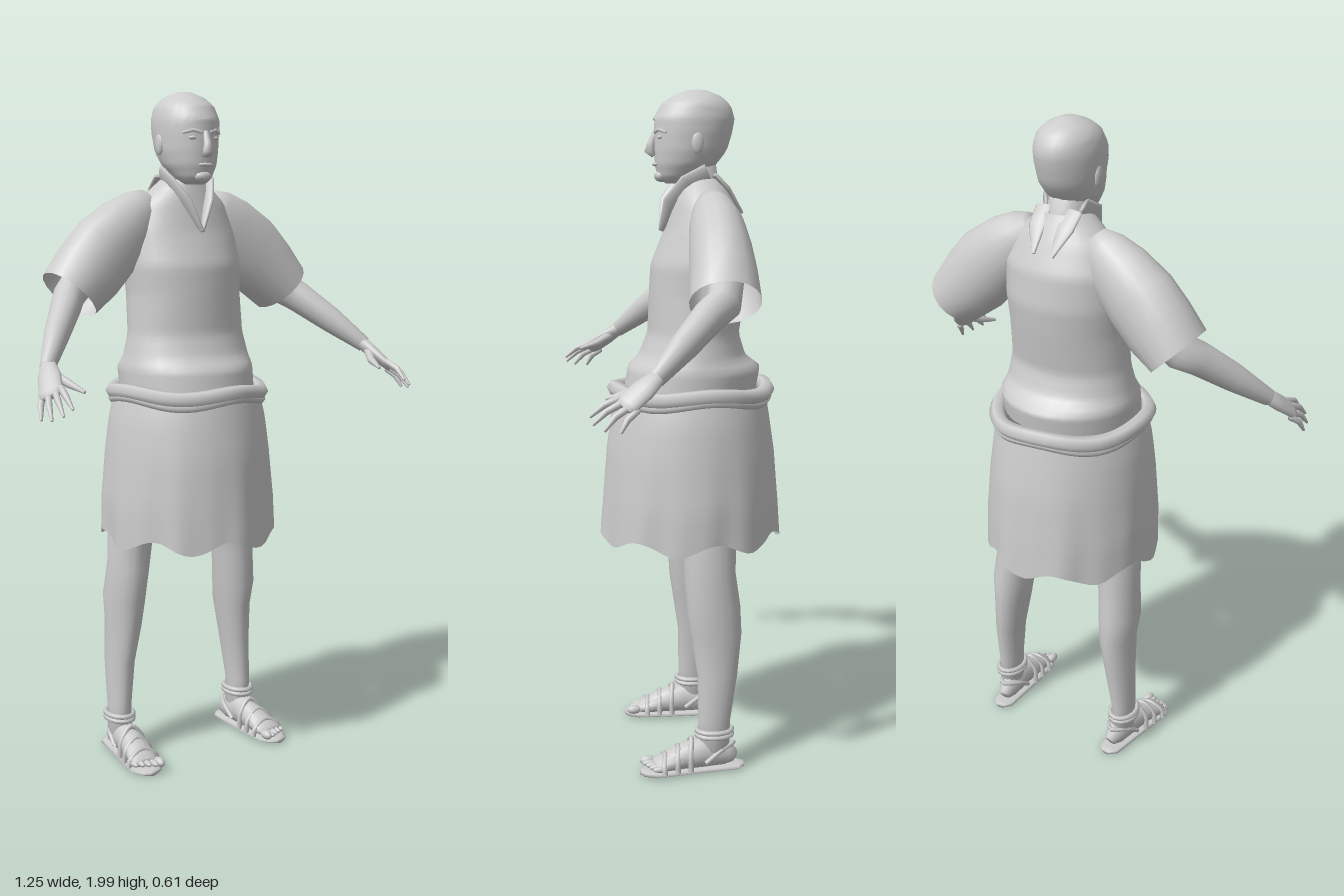
import * as THREE from 'three';

const cloth = new THREE.MeshStandardMaterial({ color: 0xcccccc, side: THREE.DoubleSide });
cloth.name = 'plain grey';
const V = (x, y, z) => new THREE.Vector3(x, y, z);

// Closed skin over rings of points; ends may be capped
function skin(rings, capStart, capEnd) {
  const n = rings[0].length, pos = [], idx = [];
  rings.forEach(r => r.forEach(p => pos.push(p.x, p.y, p.z)));
  for (let i = 0; i < rings.length - 1; i++) for (let j = 0; j < n; j++) {
    const a = i * n + j, b = i * n + (j + 1) % n;
    idx.push(a, b, b + n, a, b + n, a + n);
  }
  const cap = (ring, start, flip) => {
    const c = ring.reduce((s, p) => s.add(p), V(0, 0, 0)).divideScalar(n);
    const k = pos.length / 3;
    pos.push(c.x, c.y, c.z);
    for (let j = 0; j < n; j++) {
      const a = start + j, b = start + (j + 1) % n;
      flip ? idx.push(k, b, a) : idx.push(k, a, b);
    }
  };
  if (capStart) cap(rings[0], 0, true);
  if (capEnd) cap(rings[rings.length - 1], (rings.length - 1) * n, false);
  const g = new THREE.BufferGeometry();
  g.setAttribute('position', new THREE.Float32BufferAttribute(pos, 3));
  g.setIndex(idx);
  g.computeVertexNormals();
  return g;
}

// Elliptical sections [x, y, z, a, b] along a path; a lies along ref
function limb(secs, ref, n = 14, capStart = true, capEnd = true) {
  const c = secs.map(s => V(s[0], s[1], s[2]));
  const rings = secs.map((s, i) => {
    const t = c[Math.min(i + 1, c.length - 1)].clone().sub(c[Math.max(i - 1, 0)]).normalize();
    const u = ref.clone().addScaledVector(t, -ref.dot(t)).normalize();
    const w = t.clone().cross(u);
    return Array.from({ length: n }, (_, j) => {
      const q = j / n * Math.PI * 2;
      return c[i].clone().addScaledVector(u, s[3] * Math.cos(q)).addScaledVector(w, s[4] * Math.sin(q));
    });
  });
  return skin(rings, capStart, capEnd);
}

// Upright profile rows: [y, front z, back z, half width]
function rowAt(rows, y) {
  let i = 0;
  while (i < rows.length - 2 && y > rows[i + 1][0]) i++;
  const k = THREE.MathUtils.clamp((y - rows[i][0]) / (rows[i + 1][0] - rows[i][0]), 0, 1);
  return rows[i].map((v, j) => v + (rows[i + 1][j] - v) * k);
}
function onBody(rows, y, q, grow = 1) {
  const [, f, b, w] = rowAt(rows, y);
  return V(w * grow * Math.sin(q), y, (f + b) / 2 + (f - b) / 2 * grow * Math.cos(q));
}
function body(rows, n, capStart, capEnd, steps, place) {
  const rings = [];
  for (let i = 0; i <= steps; i++) rings.push(Array.from({ length: n }, (_, j) => place(i / steps, j / n * Math.PI * 2)));
  return skin(rings, capStart, capEnd);
}

const TORSO = [[1.14, .16, -.235, .205], [1.2, .15, -.245, .207], [1.235, .115, -.2, .198], [1.3, .09, -.18, .185],
  [1.42, .085, -.2, .18], [1.5, .08, -.21, .185], [1.6, .04, -.2, .18], [1.68, .018, -.165, .145], [1.72, .008, -.145, .1], [1.75, 0, -.13, .062]];
const SKIRT = [[.69, .232, -.305, .26], [.8, .225, -.3, .26], [.95, .215, -.29, .247], [1.05, .2, -.275, .235], [1.13, .185, -.262, .215]];
const HEAD = [[1.735, .035, -.02, .03], [1.75, .058, -.06, .05], [1.79, .068, -.11, .075], [1.83, .07, -.14, .086],
  [1.88, .07, -.155, .09], [1.92, .068, -.162, .09], [1.96, .045, -.15, .08], [1.985, .01, -.12, .056], [2, -.03, -.08, .02]];

export function createModel() {
  const model = new THREE.Group();
  model.name = 'figure';
  const add = (name, geo) => {
    const m = new THREE.Mesh(geo, cloth);
    m.name = name;
    model.add(m);
    return m;
  };
  const ball = (name, x, y, z, a, b, c) => {
    const m = add(name, new THREE.SphereGeometry(1, 12, 8));
    m.position.set(x, y, z);
    m.scale.set(a, b, c);
    return m;
  };
  const tube = (name, pts, r, closed = false, seg = 16) =>
    add(name, new THREE.TubeGeometry(new THREE.CatmullRomCurve3(pts, closed), seg, r, 6, closed));

  // Tunic with a flared bottom edge
  add('tunic', body(TORSO, 28, false, false, 40, (t, q) => onBody(TORSO, 1.14 + .61 * t, q)));

  // Skirt with folds growing towards a ragged hem
  add('skirt', body(SKIRT, 72, false, false, 12, (t, q) => {
    const fold = Math.pow(1 - t, 2);
    const wave = Math.sin(9 * q + 1) * .6 + Math.sin(16 * q) * .4;
    const p = onBody(SKIRT, .69 + .44 * t, q, 1 + .028 * fold * wave);
    p.y += fold * .018 * Math.sin(7 * q + 2);
    return p;
  }));

  // Rolled sash, drooping at the front
  const sash = (grow, y, amp) => Array.from({ length: 28 }, (_, j) => {
    const q = j / 28 * Math.PI * 2;
    const p = onBody(SKIRT, 1.11, q, grow);
    p.y = y + amp * Math.sin(4 * q + 1);
    return p;
  });
  tube('sash', sash(1, 1.13, .007), .024, true, 56);
  tube('sashFold', sash(1.01, 1.11, .01), .014, true, 56);

  // Neck and head
  add('neck', limb([[0, 1.6, -.08, .07, .065], [0, 1.7, -.065, .06, .055], [0, 1.8, -.05, .06, .055]], V(0, 0, 1)));
  add('head', body(HEAD, 24, true, true, 30, (t, q) => onBody(HEAD, 1.735 + .265 * t, q)));
  add('hair', body(HEAD, 28, false, true, 14, (t, q) => {
    const low = 1.845 + .075 * Math.cos(q) - .015 * Math.sin(q) ** 2;
    return onBody(HEAD, low + (2 - low) * t, q, 1.035);
  }));

  // Face
  add('nose', limb([[0, 1.885, .066, .006, .008], [0, 1.85, .077, .012, .012], [0, 1.828, .082, .016, .018], [0, 1.815, .07, .008, .016]], V(0, 0, 1), 8));
  ball('mouth', 0, 1.79, .066, .026, .006, .009);
  ball('chinBeard', 0, 1.757, .048, .028, .018, .022);

  for (const s of [1, -1]) {
    const side = s > 0 ? 'left' : 'right';
    const mirror = secs => secs.map(([x, ...r]) => [x * s, ...r]);
    const part = (name, secs, ref, ...o) => add(side + name, limb(mirror(secs), V(ref[0] * s, ref[1], ref[2]), ...o));
    const strap = (name, pts, r, closed) => tube(side + name, pts.map(p => V(p[0] * s, p[1], p[2])), r, closed);

    ball(side + 'Eye', .036 * s, 1.866, .056, .015, .006, .008);
    part('Brow', [[.014, 1.881, .067, .006, .006], [.038, 1.888, .06, .006, .006], [.062, 1.88, .042, .004, .004]], [0, 0, 1], 6);
    ball(side + 'Ear', .089 * s, 1.85, -.045, .009, .032, .018);

    // Crossed collar and its pointed back tips
    part('Lapel', [[.06, 1.765, -.08, .03, .008], [.062, 1.735, -.02, .03, .01], [.036, 1.68, .022, .028, .01], [0, 1.6, .05, .008, .006]], [.4, 1, .3], 10);
    part('CollarTip', [[.05, 1.76, -.1, .025, .008], [.045, 1.72, -.14, .028, .008], [.03, 1.65, -.185, .006, .005]], [1, 0, 0], 10);

    // Wide open sleeve
    part('Sleeve', [[.1, 1.685, -.08, .04, .045], [.13, 1.66, -.082, .06, .07], [.18, 1.615, -.085, .078, .094],
      [.25, 1.55, -.085, .088, .11], [.31, 1.485, -.084, .095, .108], [.372, 1.422, -.08, .1, .092]], [0, 0, 1], 18, true, false);

    // Arm and hand
    part('Arm', [[.2, 1.58, -.085, .05, .05], [.32, 1.475, -.09, .052, .05], [.375, 1.42, -.075, .052, .046], [.41, 1.39, -.03, .048, .044],
      [.48, 1.32, .048, .04, .036], [.55, 1.245, .13, .024, .022]], [0, 1, .4]);
    const across = [.6, -.35, -.5];
    part('Palm', [[.545, 1.25, .125, .022, .02], [.562, 1.22, .165, .035, .018], [.58, 1.187, .208, .036, .014], [.585, 1.178, .22, .03, .01]], across);
    const fingers = [[.56, 1.2, .225, .565, 1.152, .305], [.574, 1.19, .22, .59, 1.135, .3],
      [.587, 1.18, .205, .61, 1.122, .272], [.596, 1.172, .185, .62, 1.118, .23]];
    for (const f of fingers) {
      const mid = [(f[0] + f[3]) / 2 + .004, (f[1] + f[4]) / 2 + .006, (f[2] + f[5]) / 2 + .004];
      part('Finger', [[f[0], f[1], f[2], .01, .01], [...mid, .009, .009], [f[3], f[4], f[5], .004, .004]], across, 8);
    }
    part('Thumb', [[.55, 1.235, .145, .014, .014], [.522, 1.205, .2, .012, .012], [.505, 1.188, .258, .005, .005]], [0, 1, 0], 8);

    // Leg
    part('Leg', [[.218, .07, -.08, .046, .034], [.22, .16, -.08, .048, .033], [.212, .3, -.09, .06, .042], [.2, .42, -.088, .076, .05],
      [.2, .5, -.08, .08, .06], [.19, .6, -.07, .077, .06], [.183, .7, -.068, .08, .066], [.12, .95, -.05, .1, .09]], [0, 0, 1], 18);

    // Foot and toes
    part('Foot', [[.208, .04, -.142, .018, .02], [.212, .055, -.115, .033, .04], [.217, .062, -.05, .036, .05], [.222, .052, .02, .041, .038],
      [.228, .038, .075, .046, .022], [.231, .034, .1, .042, .014]], [1, 0, 0]);
    for (let i = 0; i < 5; i++) {
      const big = i === 0 ? .014 : .009;
      ball(side + 'Toe', s * (.196 + i * .0175), .03 + big * .3, .122 - i * .009 - (i === 0 ? .004 : 0), big, big, .024);
    }

    // Sandal sole and straps
    part('Sole', [[.208, .014, -.17, .015, .007], [.21, .014, -.15, .036, .009], [.216, .014, -.06, .042, .009], [.223, .014, .03, .048, .009],
      [.23, .014, .1, .05, .009], [.23, .014, .132, .032, .009], [.23, .014, .143, .012, .007]], [1, 0, 0], 10);
    for (const y of [.118, .132]) {
      strap('AnkleStrap', Array.from({ length: 12 }, (_, j) => {
        const q = j / 6 * Math.PI;
        return [.22 + .039 * Math.sin(q), y, -.08 + .053 * Math.cos(q)];
      }), .008, true);
    }
    for (const [z, h, w] of [[.075, .064, .05], [.035, .086, .046], [-.005, .108, .042]]) {
      const x = .22 + z * .09;
      strap('FootStrap', [[x - w, .018, z], [x - w * .85, h * .65, z], [x, h, z - .006], [x + w * .85, h * .65, z], [x + w, .018, z]], .008);
    }
    strap('HeelStrap', [[.178, .04, -.05], [.18, .075, -.1], [.212, .085, -.14], [.245, .075, -.1], [.256, .04, -.05]], .007);
  }
  return model;
}
